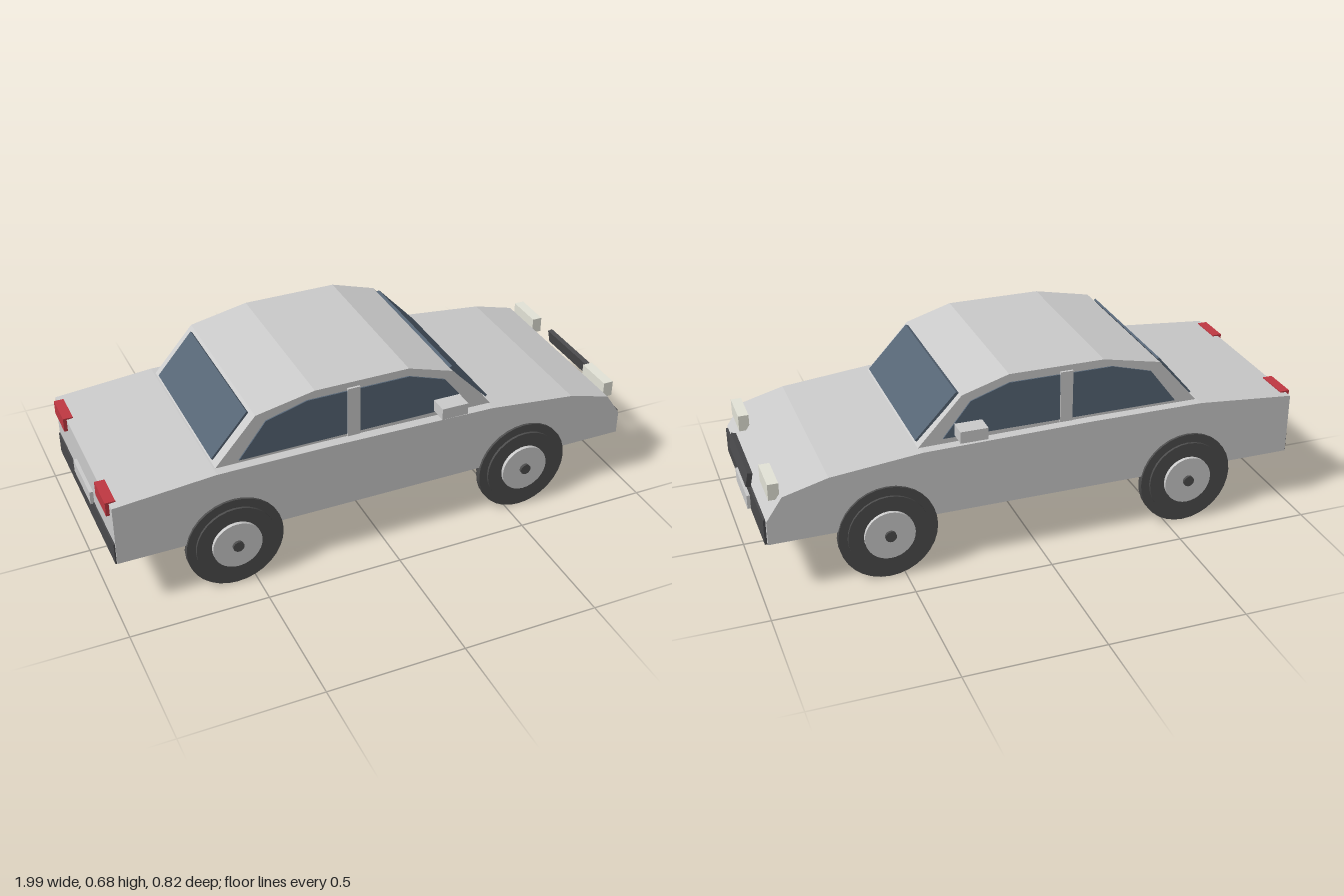
import * as THREE from 'three';

const mat = (color) => new THREE.MeshStandardMaterial({ color });
const paint = mat(0xcccccc);
const glass = mat(0x566575);
const rubber = mat(0x4c4c4c);
const trim = mat(0x4a4a4c);
const lamp = mat(0xe4e4d8);
const red = mat(0xc03842);

export function createModel() {
  const car = new THREE.Group();
  car.name = 'car';

  const add = (name, geometry, material) => {
    const mesh = new THREE.Mesh(geometry, material);
    mesh.name = name;
    car.add(mesh);
    return mesh;
  };

  // Box given by its min and max on each axis
  const box = (name, [x0, x1], [y0, y1], [z0, z1], material) => {
    const mesh = add(name, new THREE.BoxGeometry(x1 - x0, y1 - y0, z1 - z0), material);
    mesh.position.set((x0 + x1) / 2, (y0 + y1) / 2, (z0 + z1) / 2);
    return mesh;
  };

  // Side profile extruded across the car, from z0 to z1
  const slab = (name, points, z0, z1, material) => {
    const shape = new THREE.Shape(points.map(([x, y]) => new THREE.Vector2(x, y)));
    const geometry = new THREE.ExtrudeGeometry(shape, { depth: z1 - z0, bevelEnabled: false });
    return add(name, geometry.translate(0, 0, z0), material);
  };

  // Lower body and cabin
  slab('body', [
    [-0.985, 0.212], [0.968, 0.212], [0.968, 0.3], [0.91, 0.385], [0.75, 0.428],
    [0.42, 0.462], [-0.2, 0.472], [-0.62, 0.472], [-0.985, 0.44],
  ], -0.367, 0.367, paint);
  slab('cabin', [
    [-0.62, 0.465], [0.435, 0.455], [0.27, 0.635], [0.1, 0.687], [-0.25, 0.687], [-0.465, 0.643],
  ], -0.33, 0.33, paint);

  // Windscreen and rear window, lying just proud of the cabin slopes
  slab('windscreen', [[0.425, 0.473], [0.431, 0.478], [0.282, 0.637], [0.27, 0.632]], -0.303, 0.303, glass);
  slab('rearWindow', [[-0.608, 0.48], [-0.475, 0.635], [-0.481, 0.64], [-0.614, 0.485]], -0.29, 0.29, glass);

  for (const side of [-1, 1]) {
    const across = (a, b) => (side > 0 ? [a, b] : [-b, -a]);

    // Side window with its central pillar
    slab('sideWindow', [
      [-0.53, 0.484], [0.34, 0.484], [0.24, 0.61], [0.1, 0.657], [-0.28, 0.657], [-0.43, 0.615],
    ], ...across(0.32, 0.335), glass);
    box('doorPillar', [-0.132, -0.086], [0.475, 0.667], across(0.32, 0.339), paint);

    // Mirror and lights
    box('mirror', [0.2, 0.3], [0.492, 0.535], across(0.325, 0.402), paint);
    box('headlight', [0.912, 0.95], [0.362, 0.422], across(0.188, 0.335), lamp);
    box('tailLight', [-0.998, -0.962], [0.393, 0.446], across(0.205, 0.335), red);

    // Wheels: each layer is [name, radius, inner z, outer z, material]
    for (const x of [-0.57, 0.555]) {
      const layers = [
        ['tyre', 0.145, 0.283, 0.385, rubber],
        ['tyreTread', 0.177, 0.352, 0.376, rubber],
        ['hub', 0.09, 0.37, 0.398, paint],
        ['hubCap', 0.02, 0.38, 0.408, rubber],
      ];
      for (const [name, radius, z0, z1, material] of layers) {
        const geometry = new THREE.CylinderGeometry(radius, radius, z1 - z0, 32);
        const mesh = add(name, geometry.rotateX(Math.PI / 2), material);
        mesh.position.set(x, 0.18, side * (z0 + z1) / 2);
      }
    }
  }

  // Grille, leaning back a little
  const grille = box('grille', [0.972, 0.99], [0.325, 0.377], [-0.157, 0.157], trim);
  grille.rotation.z = 0.2;

  // Bumpers and plates
  box('frontBumper', [0.915, 0.976], [0.205, 0.3], [-0.35, 0.35], trim);
  box('rearBumper', [-0.99, -0.93], [0.208, 0.29], [-0.36, 0.36], trim);
  box('frontPlate', [0.97, 0.988], [0.21, 0.262], [-0.107, 0.107], paint);
  box('rearPlate', [-0.998, -0.98], [0.285, 0.335], [-0.107, 0.107], paint);

  return car;
}
